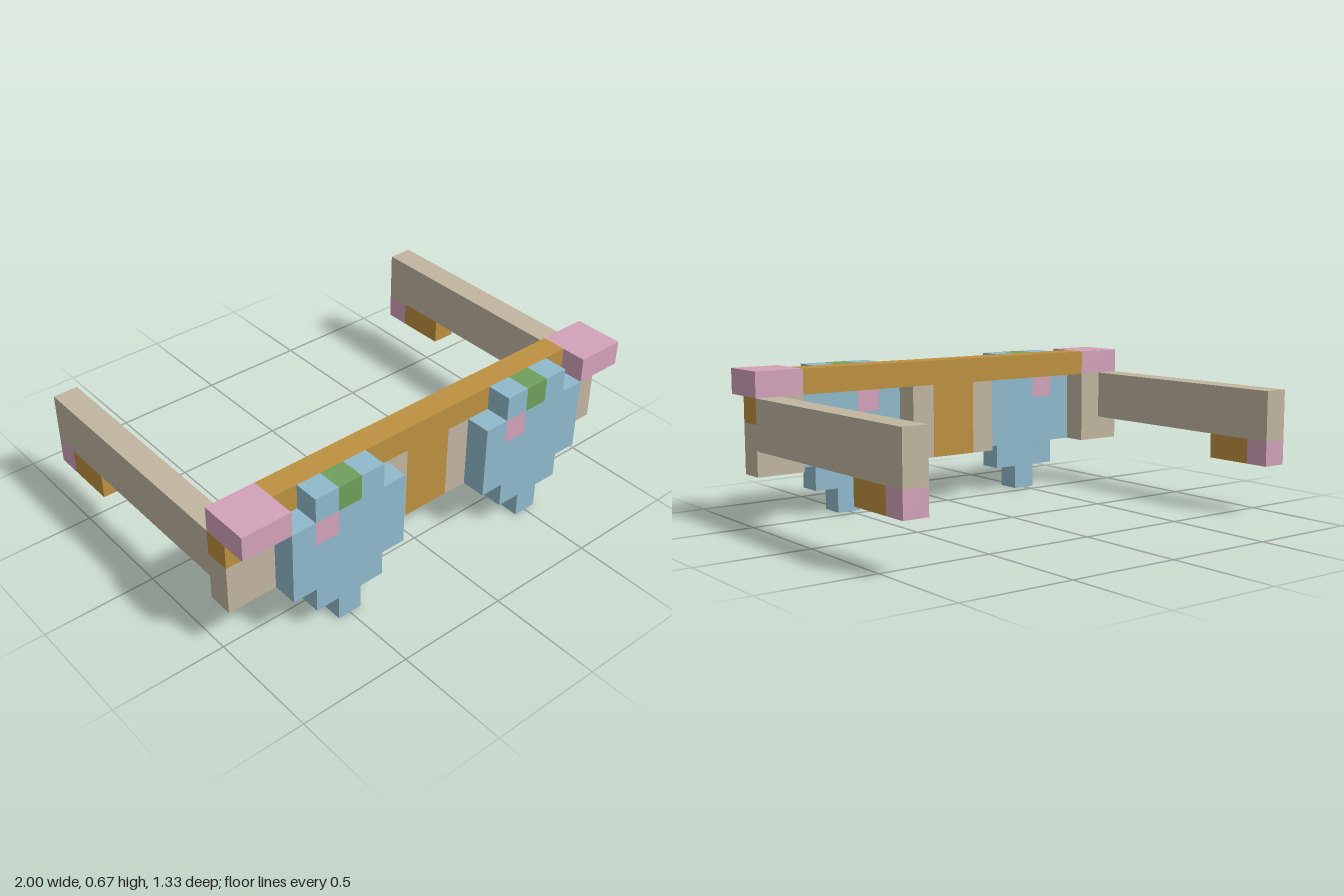
import * as THREE from 'three';

const U = 1 / 9; // size of one block

const material = (color) => new THREE.MeshStandardMaterial({ color, flatShading: true });

export function createModel() {
  const tan = material(0xc1b5a0);
  const gold = material(0xbd9140);
  const pink = material(0xd2a2b9);
  const blue = material(0x8fb9cb);
  const green = material(0x6f9f5c);

  // Box between block coordinates [x0, x1], [y0, y1], [z0, z1]
  function block(parent, name, mat, [x0, x1], [y0, y1], [z0, z1]) {
    const geometry = new THREE.BoxGeometry((x1 - x0) * U, (y1 - y0) * U, (z1 - z0) * U);
    const mesh = new THREE.Mesh(geometry, mat);
    mesh.position.set((x0 + x1) * U / 2, (y0 + y1) * U / 2, (z0 + z1) * U / 2);
    mesh.name = name;
    parent.add(mesh);
  }

  function part(parent, name) {
    const group = new THREE.Group();
    group.name = name;
    parent.add(group);
    return group;
  }

  const model = new THREE.Group();
  model.name = 'glasses';

  // Brow bar and nose bridge
  block(model, 'browBar', gold, [-7, 7], [5, 6], [4, 5]);
  block(model, 'bridge', gold, [-1, 1], [2, 5], [4, 5]);

  // Stepped lenses; the glint sits on the same side of both
  for (const [name, cx] of [['leftLens', 4.5], ['rightLens', -4.5]]) {
    const lens = part(model, name);
    const z = [5, 6];
    const span = (a, b) => [cx + a, cx + b];
    block(lens, 'lensTip', blue, span(-0.5, 0.5), [0, 1], z);
    block(lens, 'lensStep', blue, span(-1.5, 1.5), [1, 2], z);
    block(lens, 'lensBody', blue, span(-2.5, 2.5), [2, 4], z);
    block(lens, 'lensRim', blue, span(-2.5, -1.5), [4, 5], z);
    block(lens, 'lensGlint', pink, span(-1.5, -0.5), [4, 5], z);
    block(lens, 'lensUpper', blue, span(-0.5, 2.5), [4, 5], z);
    block(lens, 'lensTopInner', blue, span(-1.5, -0.5), [5, 6], z);
    block(lens, 'lensTopGem', green, span(-0.5, 0.5), [5, 6], z);
    block(lens, 'lensTopOuter', blue, span(0.5, 1.5), [5, 6], z);
  }

  // Mirrored side pieces
  for (const [side, s] of [['left', 1], ['right', -1]]) {
    const group = part(model, side + 'Side');
    const mx = (a, b) => (s > 0 ? [a, b] : [-b, -a]);
    block(group, 'bridgeEdge', tan, mx(1, 2), [2, 5], [4, 5]);
    block(group, 'cornerCap', pink, mx(7, 9), [5, 6], [4, 6]);
    // Hinge post with its inset
    block(group, 'hingePost', tan, mx(7, 9), [2, 4], [4, 5]);
    block(group, 'hingePostTop', tan, mx(7, 8), [4, 5], [4, 5]);
    block(group, 'hingeInset', gold, mx(8, 9), [4, 5], [4, 5]);
    // Temple arm and ear hook
    block(group, 'templeArm', tan, mx(8, 9), [3, 5], [-6, 4]);
    block(group, 'earHook', gold, mx(8, 9), [2, 3], [-5, -3]);
    block(group, 'earHookTip', pink, mx(8, 9), [2, 3], [-6, -5]);
  }

  return model;
}
